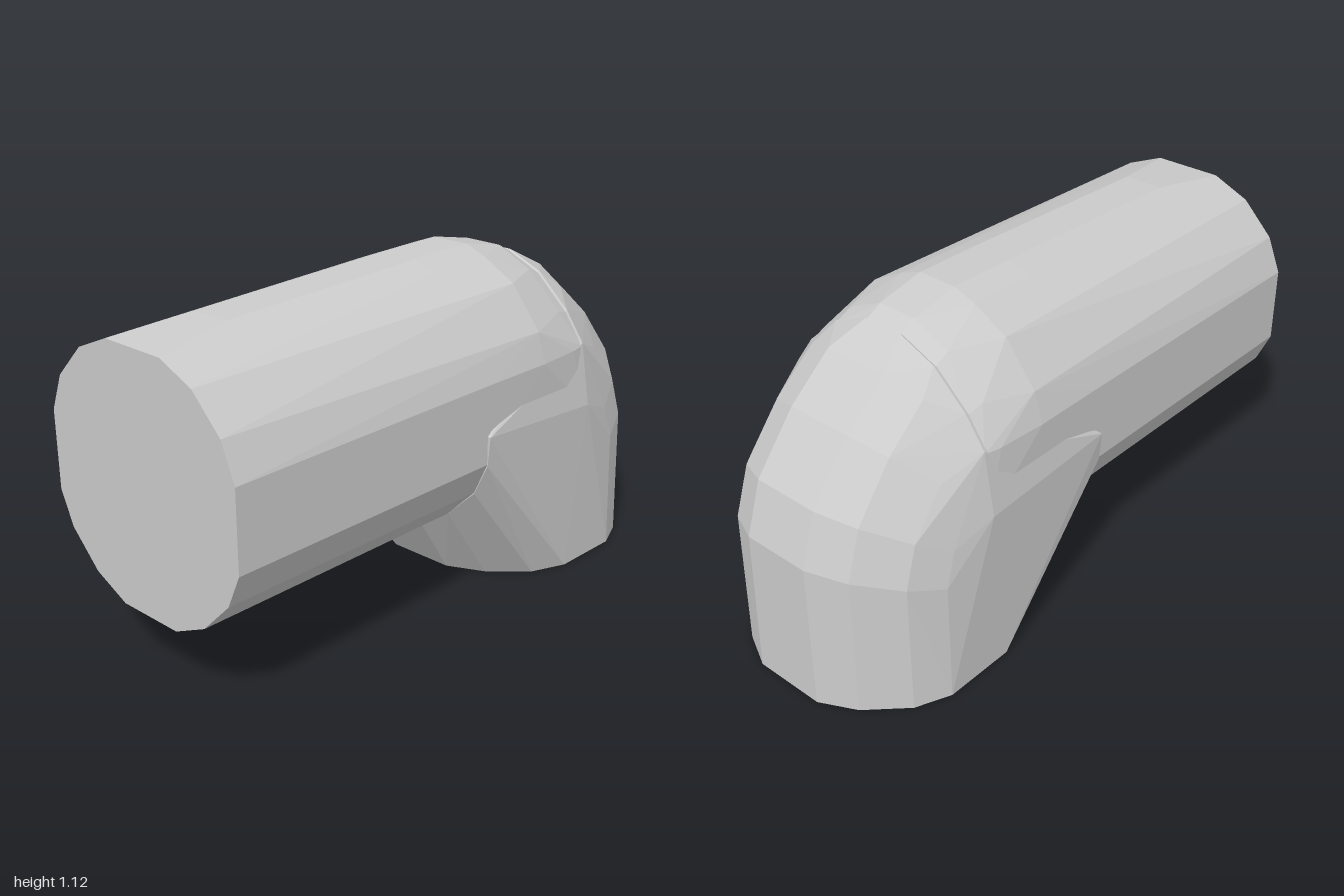
import * as THREE from 'three';
import { ConvexGeometry } from 'three/addons/geometries/ConvexGeometry.js';

// Mirrored section across z = 0 at a given x, from [y, halfWidth] pairs
function section(x, pairs) {
  return pairs.flatMap(([y, z]) => [new THREE.Vector3(x, y, z), new THREE.Vector3(x, y, -z)]);
}

function hull(name, points) {
  const material = new THREE.MeshStandardMaterial({ color: 0xcccccc, flatShading: true });
  const mesh = new THREE.Mesh(new ConvexGeometry(points), material);
  mesh.name = name;
  return mesh;
}

export function createModel() {
  const group = new THREE.Group();
  group.name = 'pipeElbow';

  const lower = [[0.23, 0.12], [0.29, 0.25], [0.4, 0.36], [0.51, 0.41]];
  const seam = [[1.055, 0.07], [1.0, 0.2], [0.89, 0.32], [0.79, 0.39], [0.58, 0.41]];

  // Horizontal pipe, swelling slightly toward the bend
  const pipe = [
    ...section(-1, [...lower, [0.77, 0.41], [0.89, 0.36], [1.0, 0.25], [1.055, 0.12]]),
    ...section(-0.73, [[1.084, 0.07]]),
    ...section(0.02, lower.map(([y, z]) => [y + 0.005, z + 0.002])),
    ...section(0.05, [[1.11, 0.07], [1.08, 0.15], [1.015, 0.265], [0.88, 0.375], [0.78, 0.412]]),
    ...section(0.3, [[1.115, 0.07], [1.085, 0.15], [1.02, 0.27], [0.88, 0.38], [0.78, 0.412]]),
    ...section(0.47, [[1.08, 0.07], [1.02, 0.2], [0.9, 0.33], [0.78, 0.4]]),
    ...section(0.53, seam.map(([y, z]) => [y - 0.008, z])),
  ];
  group.add(hull('horizontalPipe', pipe));

  // Downward outlet: sixteen-sided foot, mitred inner corner and seam
  const elbow = [
    ...section(0.02, [[0.235, 0.12], [0.295, 0.252], [0.4, 0.362], [0.51, 0.414], [0.61, 0.423]]),
    ...section(0.53, [...seam.slice(0, 4), [0.58, 0.425]]),
  ];
  const foot = [[0.17, 0.12], [0.23, 0.245], [0.34, 0.362], [0.46, 0.412],
    [0.71, 0.412], [0.825, 0.362], [0.94, 0.245], [1, 0.125]];
  for (const [x, z] of foot) elbow.push(...section(x, [[0, z]]));

  // Rounded outer bend: sections swept about the inner corner
  const pivot = { x: 0.17, y: 0.235 };
  const bend = [[18, 0.87], [30, 0.89], [45, 0.885], [58, 0.89]];
  const arc = [[1, 0.12], [0.93, 0.245], [0.79, 0.36], [0.65, 0.41]];
  for (const [degrees, radius] of bend) {
    const a = THREE.MathUtils.degToRad(degrees);
    for (const [u, z] of arc) {
      const x = Math.min(1, pivot.x + radius * u * Math.cos(a));
      const y = pivot.y + radius * u * Math.sin(a);
      if (x >= 0.53) elbow.push(...section(x, [[y, z * (1 - degrees / 1000)]]));
    }
  }
  group.add(hull('elbowOutlet', elbow));
  return group;
}
